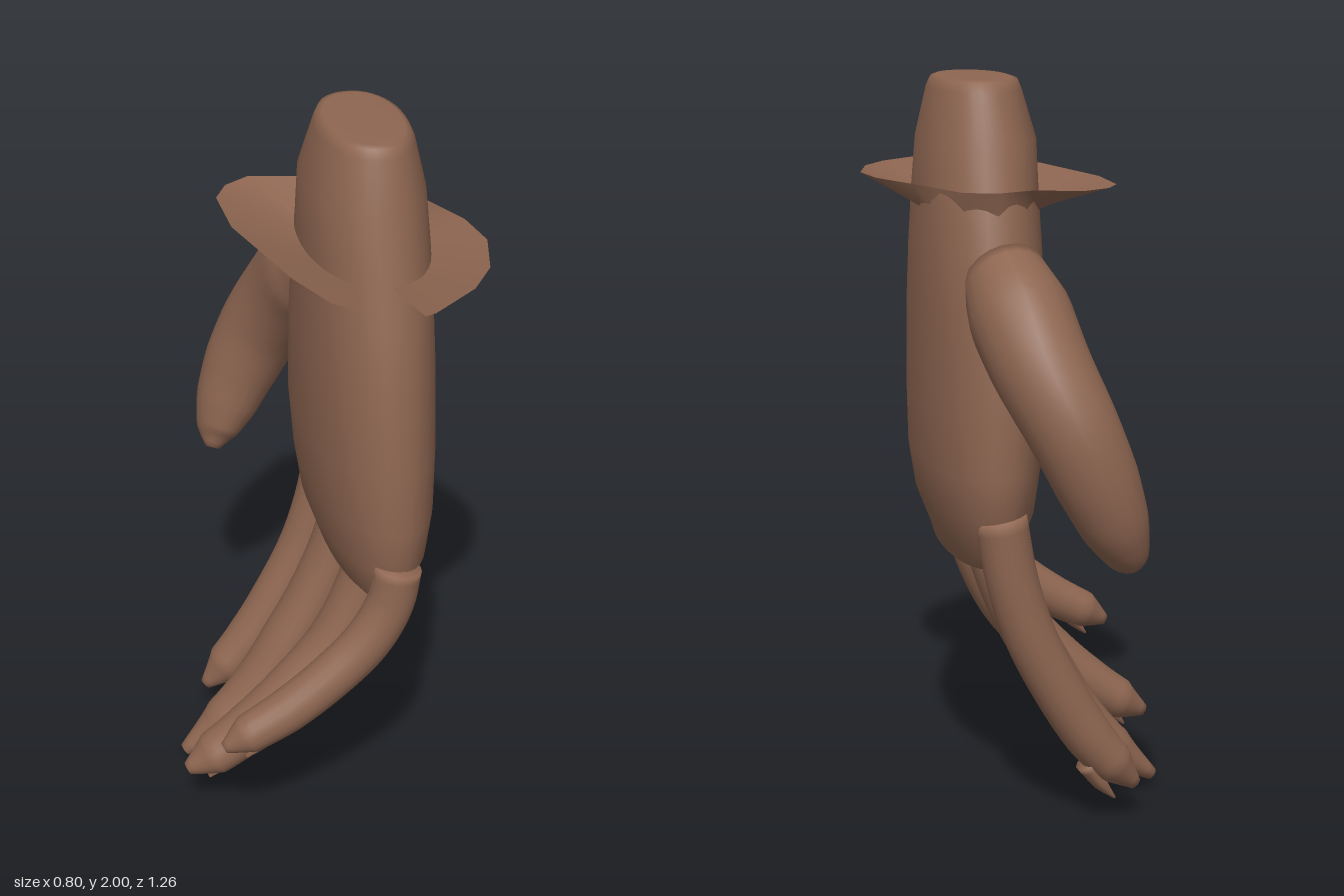
import * as THREE from 'three';

const skin = new THREE.MeshStandardMaterial({ color: 0x8e6651, side: THREE.DoubleSide });
skin.name = 'brown skin';
const V = (x, y, z) => new THREE.Vector3(x, y, z);

// Joins closed rings of points into a skin, closing both ends at their centres
function loft(name, rings) {
  const n = rings[0].length, pos = [], idx = [];
  rings.forEach(r => r.forEach(p => pos.push(p.x, p.y, p.z)));
  for (let i = 0; i < rings.length - 1; i++) {
    for (let j = 0; j < n; j++) {
      const k = (j + 1) % n, a = i * n + j, b = i * n + k;
      idx.push(a, b, a + n, b, b + n, a + n);
    }
  }
  [0, rings.length - 1].forEach(i => {
    const c = V(0, 0, 0);
    rings[i].forEach(p => c.addScaledVector(p, 1 / n));
    const m = pos.length / 3;
    pos.push(c.x, c.y, c.z);
    for (let j = 0; j < n; j++) {
      const a = i * n + j, b = i * n + (j + 1) % n;
      if (i === 0) idx.push(m, b, a); else idx.push(m, a, b);
    }
  });
  return surface(name, pos, idx);
}

function surface(name, pos, idx) {
  const g = new THREE.BufferGeometry();
  g.setAttribute('position', new THREE.Float32BufferAttribute(pos, 3));
  g.setIndex(idx);
  g.computeVertexNormals();
  const mesh = new THREE.Mesh(g, skin);
  mesh.name = name;
  return mesh;
}

// Limb along a curve; radii = [across, thick] at each path point
function limb(name, path, radii, steps = 30, sides = 20) {
  const curve = new THREE.CatmullRomCurve3(path.map(p => V(...p)));
  const rings = [];
  for (let i = 0; i <= steps; i++) {
    const t = i / steps, f = t * (radii.length - 1);
    const k = Math.min(Math.floor(f), radii.length - 2), w = f - k;
    const ra = radii[k][0] * (1 - w) + radii[k + 1][0] * w;
    const rb = radii[k][1] * (1 - w) + radii[k + 1][1] * w;
    const c = curve.getPoint(t), d = curve.getTangent(t);
    const v = V(0, 0, 1).cross(d).normalize(), u = v.clone().cross(d);
    const ring = [];
    for (let j = 0; j < sides; j++) {
      const a = j / sides * Math.PI * 2;
      ring.push(c.clone().addScaledVector(u, Math.cos(a) * ra).addScaledVector(v, Math.sin(a) * rb));
    }
    rings.push(ring);
  }
  return loft(name, rings);
}

// Palm and wrist: y, x min, x max, z min, z max
function palm() {
  const rows = [
    [0.71, 0.11, 0.20, -0.17, 0.35], [0.715, 0.07, 0.22, -0.20, 0.37],
    [0.76, 0.03, 0.235, -0.25, 0.40], [0.86, -0.005, 0.275, -0.31, 0.44],
    [0.98, -0.025, 0.295, -0.32, 0.448], [1.15, -0.04, 0.30, -0.32, 0.445],
    [1.4, -0.04, 0.30, -0.30, 0.415], [1.55, -0.035, 0.297, -0.27, 0.38],
    [1.7, -0.03, 0.29, -0.225, 0.34], [1.84, -0.028, 0.28, -0.185, 0.305],
    [1.97, 0.01, 0.25, -0.14, 0.265], [1.995, 0.02, 0.238, -0.125, 0.25],
    [2.0, 0.035, 0.225, -0.105, 0.235], [2.0, 0.08, 0.18, -0.03, 0.15]
  ];
  const soft = s => Math.sign(s) * Math.pow(Math.abs(s), 0.92);
  return loft('palm', rows.map(([y, x0, x1, z0, z1]) => {
    const ring = [];
    for (let j = 0; j < 40; j++) {
      const a = j / 40 * Math.PI * 2;
      ring.push(V((x0 + x1) / 2 + soft(Math.sin(a)) * (x1 - x0) / 2, y,
        (z0 + z1) / 2 + soft(Math.cos(a)) * (z1 - z0) / 2));
    }
    return ring;
  }));
}

// Torn cuff: an open flared strip round the wrist, outer edge as [x, z]
function cuff() {
  const edge = [[-0.02, 0.56], [-0.07, 0.51], [-0.13, 0.36], [-0.17, 0.2], [-0.21, 0.04], [-0.21, -0.14],
    [-0.17, -0.21], [-0.1, -0.25], [0.04, -0.215], [0.13, -0.25], [0.22, -0.22], [0.27, -0.1],
    [0.31, -0.01], [0.38, 0.14], [0.4, 0.27], [0.36, 0.42], [0.29, 0.52], [0.16, 0.62], [0.13, 0.63]];
  const pos = [], idx = [];
  edge.forEach(([x, z], i) => {
    const a = Math.atan2((z - 0.055) / 0.29, (x - 0.13) / 0.157);
    pos.push(x, 1.725, z, 0.13 + 0.157 * Math.cos(a), 1.66, 0.055 + 0.29 * Math.sin(a));
    if (i) idx.push(2 * i - 2, 2 * i - 1, 2 * i, 2 * i, 2 * i - 1, 2 * i + 1);
  });
  return surface('cuff', pos, idx);
}

export function createModel() {
  const hand = new THREE.Group();
  hand.name = 'hand';
  hand.add(palm(), cuff());

  hand.add(limb('thumb',
    [[0.11, 1.5, -0.2], [0.09, 1.41, -0.31], [0.06, 1.3, -0.41], [0.0, 1.16, -0.49],
      [-0.06, 1.02, -0.515], [-0.11, 0.9, -0.51], [-0.145, 0.82, -0.49], [-0.165, 0.775, -0.465]],
    [[0.13, 0.11], [0.155, 0.135], [0.145, 0.13], [0.13, 0.12], [0.115, 0.11], [0.1, 0.09], [0.075, 0.06], [0.02, 0.02]]));

  // Fingers: z position, half width, path in x and y
  const fingers = [
    ['littleFinger', 0.412, 0.064, [[0.14, 0.87], [0.12, 0.76], [0.06, 0.65], [-0.04, 0.55], [-0.16, 0.46], [-0.27, 0.4], [-0.335, 0.365]]],
    ['ringFinger', 0.2, 0.08, [[0.14, 0.84], [0.1, 0.68], [0.02, 0.51], [-0.1, 0.37], [-0.22, 0.26], [-0.32, 0.19], [-0.395, 0.15]]],
    ['middleFinger', -0.03, 0.085, [[0.13, 0.84], [0.09, 0.68], [0.03, 0.53], [-0.05, 0.385], [-0.14, 0.24], [-0.24, 0.13], [-0.355, 0.04]]],
    ['indexFinger', -0.25, 0.074, [[0.13, 0.87], [0.1, 0.7], [0.05, 0.54], [-0.03, 0.38], [-0.11, 0.25], [-0.18, 0.165], [-0.245, 0.1]]]
  ];
  for (const [name, z, r, path] of fingers) {
    hand.add(limb(name, path.map(([x, y]) => [x, y, z]),
      [1, 1, 1, 0.98, 0.95, 0.85, 0.25].map(s => [r * s, Math.min(r, 0.07) * s])));
    // Small pointed nail under each tip
    const [x, y] = path[path.length - 1];
    hand.add(limb(name + 'Nail',
      [[x + 0.14, y + 0.07, z], [x + 0.1, y + 0.01, z], [x + 0.06, y - 0.035, z]],
      [[0.045, 0.03], [0.035, 0.02], [0.012, 0.004]], 8, 10));
  }
  return hand;
}
